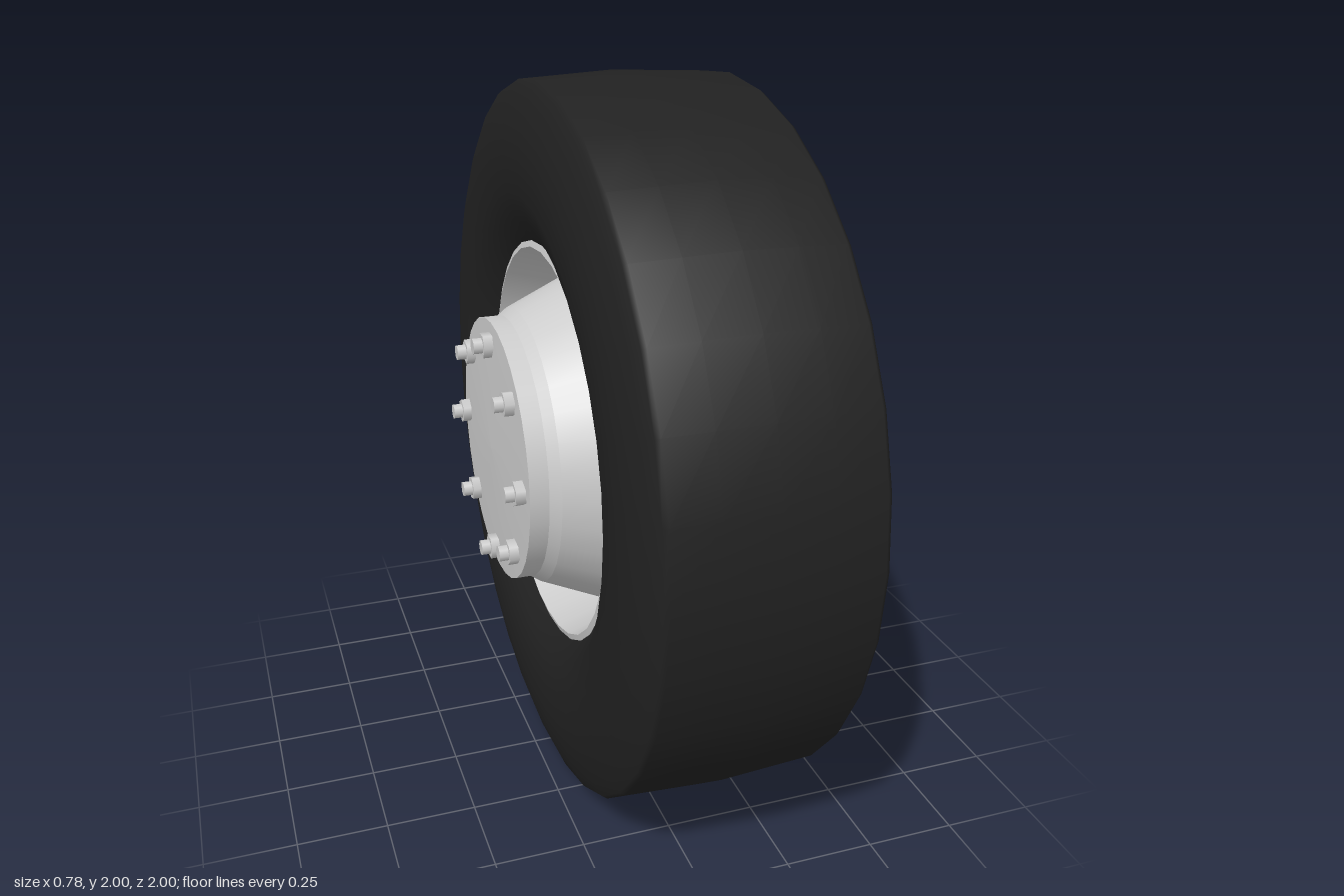
import * as THREE from 'three';

const SEGMENTS = 32;

// Smooth surface of revolution about the x axis; points are [radius, x]
function revolve(name, points, material) {
  const geometry = new THREE.LatheGeometry(
    points.map(([r, x]) => new THREE.Vector2(r, x)), SEGMENTS);
  geometry.rotateZ(-Math.PI / 2);
  const mesh = new THREE.Mesh(geometry, material);
  mesh.name = name;
  return mesh;
}

// Hexagonal or round prism along the x axis between x0 and x1
function prism(name, radius, sides, x0, x1, material) {
  const geometry = new THREE.CylinderGeometry(radius, radius, x1 - x0, sides);
  geometry.rotateZ(Math.PI / 2);
  geometry.translate((x0 + x1) / 2, 0, 0);
  const mesh = new THREE.Mesh(geometry, material);
  mesh.name = name;
  return mesh;
}

export function createModel() {
  const rubber = new THREE.MeshStandardMaterial({ color: 0x212121 });
  rubber.name = 'black rubber';
  const metal = new THREE.MeshStandardMaterial({ color: 0xcccccc, side: THREE.DoubleSide });
  metal.name = 'light grey metal';

  const wheel = new THREE.Group();
  wheel.name = 'wheel';

  // Tyre: half profile mirrored about its middle plane
  const mid = 0.064;
  const half = [[0.56, 0.25], [0.62, 0.295], [0.7, 0.318], [0.8, 0.322],
    [0.88, 0.309], [0.94, 0.29], [0.978, 0.274], [0.987, 0.262], [0.993, 0.14]];
  const outer = [
    ...half.map(([r, d]) => [r, mid - d]),
    [1, mid],
    ...half.slice().reverse().map(([r, d]) => [r, mid + d]),
  ];
  const tyre = new THREE.Group();
  tyre.name = 'tyre';
  tyre.add(
    revolve('tyreBody', outer, rubber),
    revolve('boreInner', [[0.56, mid + 0.25], [0.575, mid]], rubber),
    revolve('boreOuter', [[0.575, mid], [0.56, mid - 0.25]], rubber),
  );

  // Rim: separate strips keep the edges between them sharp
  const rim = new THREE.Group();
  rim.name = 'rim';
  rim.add(
    revolve('rimLip', [[0.562, -0.195], [0.545, -0.2]], metal),
    revolve('rimBarrel', [[0.545, -0.2], [0.49, -0.02]], metal),
    revolve('rimCone', [[0.385, -0.262], [0.49, -0.02]], metal),
    revolve('hubShoulder', [[0.365, -0.29], [0.385, -0.262]], metal),
    revolve('hubWall', [[0.365, -0.342], [0.365, -0.29]], metal),
    revolve('hubPlate', [[0, -0.354], [0.2, -0.35], [0.365, -0.342]], metal),
  );

  // Ring of eight wheel bolts
  const bolts = new THREE.Group();
  bolts.name = 'wheelBolts';
  for (let i = 0; i < 8; i++) {
    const a = (i * Math.PI) / 4;
    const bolt = new THREE.Group();
    bolt.name = 'wheelBolt';
    bolt.add(
      prism('nut', 0.035, 6, -0.37, -0.34, metal),
      prism('stud', 0.022, 8, -0.395, -0.365, metal),
    );
    bolt.position.set(0, 0.303 * Math.cos(a), 0.303 * Math.sin(a));
    bolt.rotation.x = a;
    bolts.add(bolt);
  }

  wheel.add(tyre, rim, bolts);
  wheel.position.y = 1;
  const model = new THREE.Group();
  model.name = 'model';
  model.add(wheel);
  return model;
}
